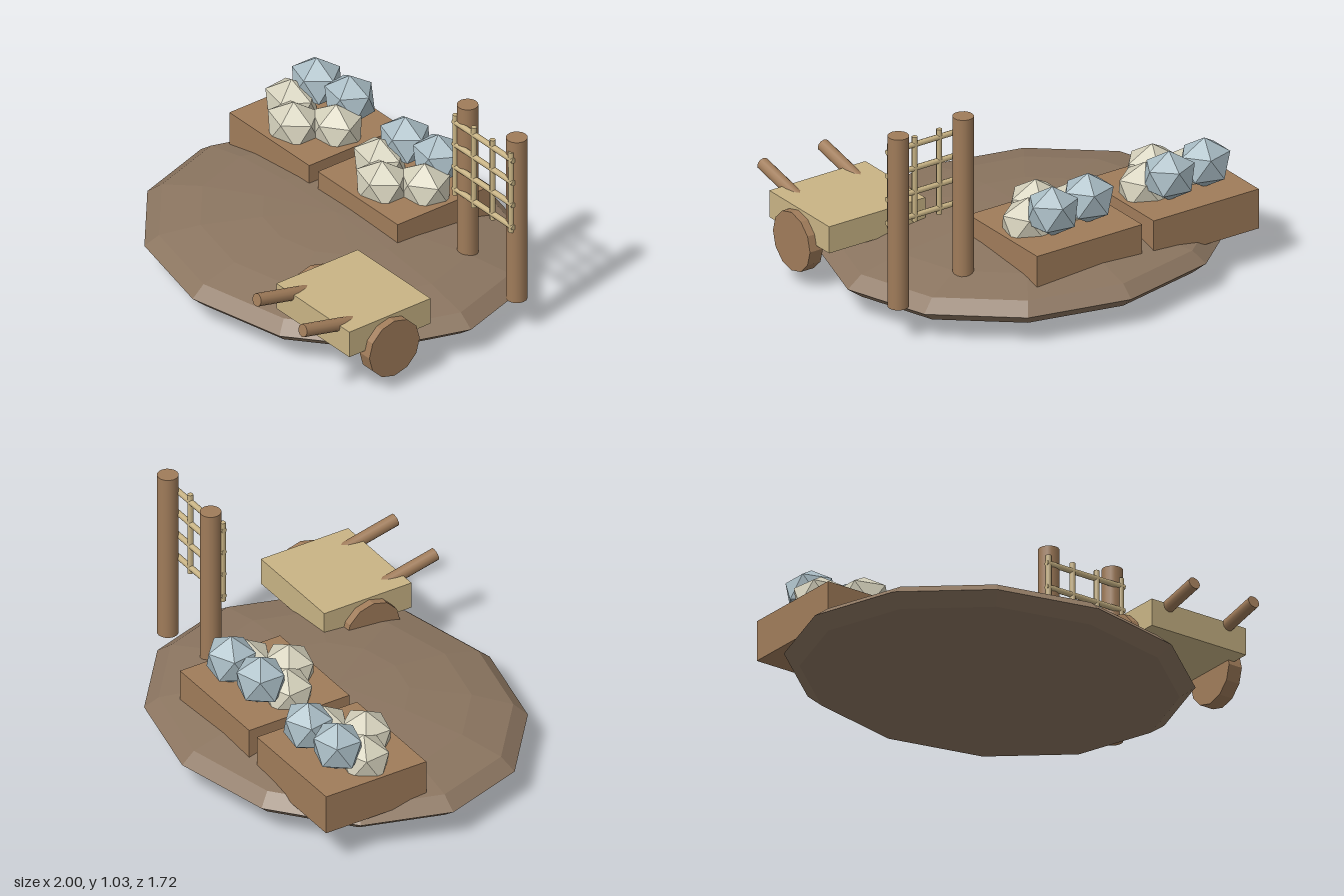
import * as THREE from 'three';

const mat = (color, flatShading = false) => new THREE.MeshStandardMaterial({ color, flatShading });
const soil = mat(0x8b7560, true);
const crateWood = mat(0xa07c5a, true);
const poleWood = mat(0xa07c5a);
const wheelWood = mat(0xa07c5a, true);
const paleWood = mat(0xc9b485, true);
const rope = mat(0xc9b485);
const blueRock = mat(0xa9bcc4, true);
const creamRock = mat(0xd3cfba, true);

function add(parent, name, geometry, material, x = 0, y = 0, z = 0) {
  const mesh = new THREE.Mesh(geometry, material);
  mesh.name = name;
  mesh.position.set(x, y, z);
  parent.add(mesh);
  return mesh;
}

function group(parent, name, x = 0, y = 0, z = 0) {
  const g = new THREE.Group();
  g.name = name;
  g.position.set(x, y, z);
  parent.add(g);
  return g;
}

// Icosahedron standing on a vertex, widened along x
function rockGeometry(rx, ry, rz, yaw) {
  return new THREE.IcosahedronGeometry(1, 0)
    .rotateX(-Math.atan((1 + Math.sqrt(5)) / 2))
    .rotateY(Math.PI / 2 + yaw)
    .scale(rx, ry, rz);
}

// Shallow crate heaped with rocks
function addCrate(parent, x) {
  const crate = group(parent, 'rockCrate', x, 0.28, -0.3625);
  add(crate, 'crate', new THREE.BoxGeometry(0.59, 0.2, 0.545), crateWood);
  const cream = [[-0.15, 0.025, 0.1], [0.15, 0.0, -0.2], [0.012, 0.14, 0]];
  for (const [rx, rz, yaw] of cream)
    add(crate, 'creamRock', rockGeometry(0.147, 0.125, 0.126, yaw), creamRock, rx, 0.13, rz);
  const blue = [[-0.115, -0.095, 0], [0.1, -0.118, 0.15]];
  for (const [rx, rz, yaw] of blue)
    add(crate, 'blueRock', rockGeometry(0.137, 0.125, 0.125, yaw), blueRock, rx, 0.217, rz);
}

// Two posts with a rope net between them
function addNetFrame(parent) {
  const frame = group(parent, 'netFrame', 0.757, 0, -0.337);
  for (const side of [-1, 1])
    add(frame, 'post', new THREE.CylinderGeometry(0.05, 0.05, 0.865, 16), poleWood, side * 0.182, 0.6025, 0);
  for (let i = 0; i < 4; i++) {
    const cord = add(frame, 'netRow', new THREE.CylinderGeometry(0.014, 0.014, 0.445, 8), rope, -0.007, 0.58 + i * 0.12, 0.044);
    cord.rotation.z = Math.PI / 2;
    add(frame, 'netColumn', new THREE.CylinderGeometry(0.014, 0.014, 0.43, 8), rope, -0.217 + i * 0.138, 0.765, 0.044);
  }
}

// Flat handcart with two wheels and two sloping handles
function addCart(parent) {
  const cart = group(parent, 'cart', 0.69, 0, 0.42);
  add(cart, 'cartBed', new THREE.BoxGeometry(0.54, 0.135, 0.475), paleWood, 0, 0.3075, 0);
  for (const side of [-1, 1]) {
    const wheel = add(cart, 'wheel', new THREE.CylinderGeometry(0.147, 0.147, 0.073, 12), wheelWood, side * 0.2735, 0.218, 0.005);
    wheel.rotation.z = Math.PI / 2;
    const handle = add(cart, 'handle', new THREE.CylinderGeometry(0.031, 0.031, 0.36, 12), poleWood, side * 0.17, 0.37, 0.255);
    handle.rotation.x = Math.PI / 2 - 0.22;
  }
}

export function createModel() {
  const model = new THREE.Group();
  model.name = 'quarryCamp';
  // Flattened mound of earth
  add(model, 'ground', new THREE.SphereGeometry(1, 12, 8).scale(1, 0.147, 0.837), soil, 0, 0.147, -0.022);
  addCrate(model, -0.58);
  addCrate(model, 0.075);
  addNetFrame(model);
  addCart(model);
  return model;
}
